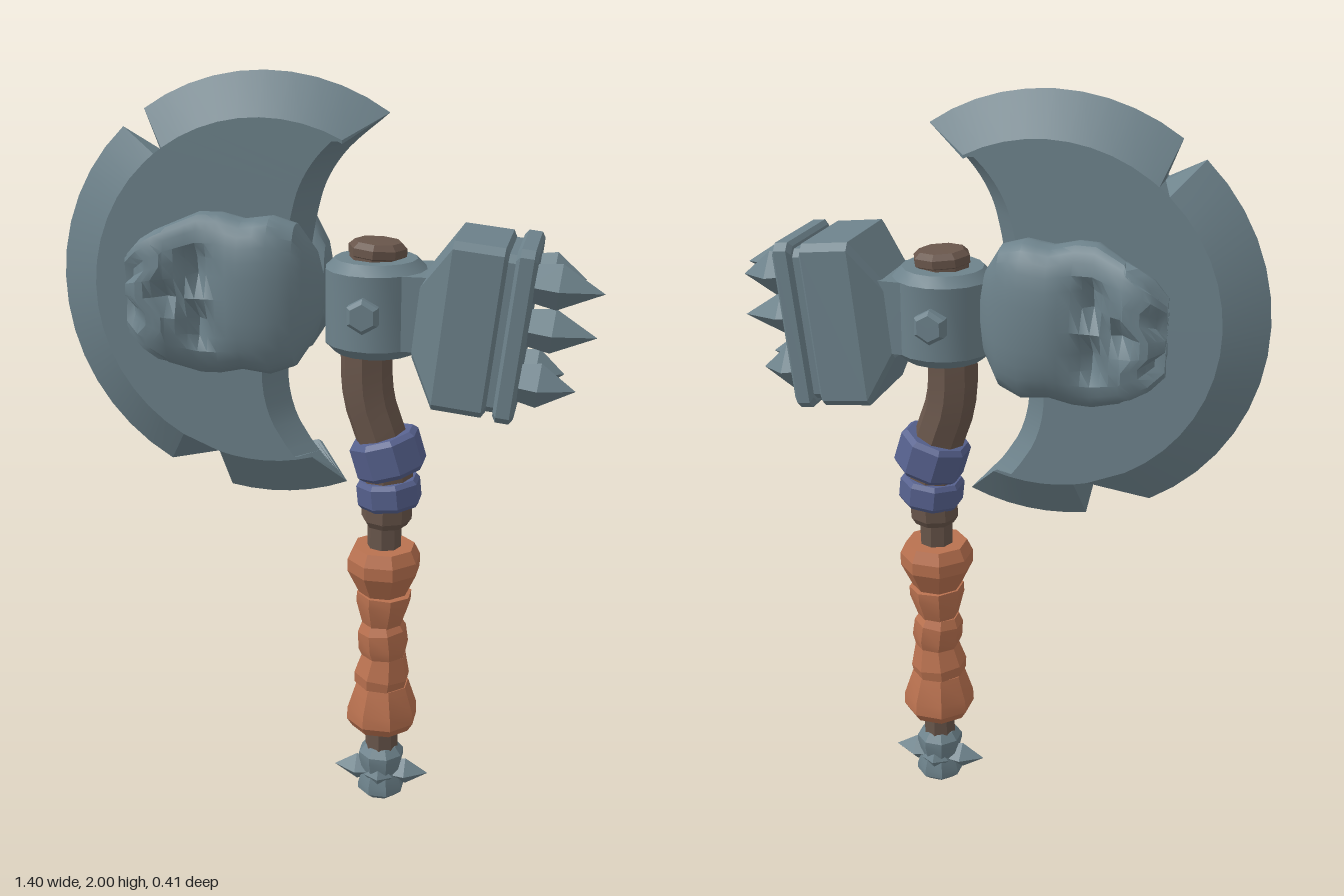
import * as THREE from 'three';
import { toCreasedNormals } from 'three/addons/utils/BufferGeometryUtils.js';

const mat = (name, color) => Object.assign(new THREE.MeshStandardMaterial({ color }), { name });

export function createModel() {
  const steel = mat('steel', 0x6d828b), wood = mat('wood', 0x69564b);
  const leather = mat('leather', 0xb9714f), cloth = mat('blueBand', 0x57628f);
  const model = new THREE.Group();
  model.name = 'warAxe';

  const add = (name, geo, material, parent = model, crease = 0.35) => {
    const mesh = new THREE.Mesh(toCreasedNormals(geo, crease), material);
    mesh.name = name;
    parent.add(mesh);
    return mesh;
  };
  const group = (name, x, y, z = 0) => {
    const g = new THREE.Group();
    g.name = name;
    g.position.set(x, y, z);
    model.add(g);
    return g;
  };
  // Skin over closed cross-sections of [x, y, z] points
  const loft = (rings) => {
    const n = rings[0].length, index = [];
    for (let i = 0; i < rings.length - 1; i++) {
      for (let j = 0; j < n; j++) {
        const a = i * n + j, b = i * n + (j + 1) % n, c = a + n, d = b + n;
        index.push(a, c, b, b, c, d);
      }
    }
    const geo = new THREE.BufferGeometry();
    geo.setAttribute('position', new THREE.Float32BufferAttribute(rings.flat(2), 3));
    geo.setIndex(index);
    return geo.toNonIndexed();
  };
  // Turned part, profile of [radius, height] from bottom to top
  const lathe = (profile, sides) => {
    const geo = new THREE.LatheGeometry(profile.map(p => new THREE.Vector2(...p)), sides);
    geo.deleteAttribute('uv');
    return geo.toNonIndexed();
  };

  // Crescent blade: cutting edge, two ridges and a bevelled inner edge
  const cx = -0.155, cy = 1.452, R = 0.55, start = 55.7, end = 292.2;
  const stations = [];
  const arc = (from, to, n) => {
    for (let i = 0; i <= n; i++) stations.push([from + (to - from) * i / n, R]);
  };
  arc(start, 125, 10);
  stations.push([128.3, 0.447]);
  arc(132.6, 240.1, 14);
  stations.push([253.9, 0.462]);
  arc(258.7, end, 6);
  const inner = new THREE.CatmullRomCurve3([
    [0.155, 1.906], [0.05, 1.815], [0, 1.74], [-0.025, 1.66], [-0.06, 1.46],
    [-0.105, 1.25], [-0.085, 1.13], [-0.025, 1.03], [0.053, 0.943],
  ].map(p => new THREE.Vector3(p[0], p[1], 0)));
  const polar = (deg, r) => {
    const a = deg * Math.PI / 180;
    return [cx + r * Math.cos(a), cy + r * Math.sin(a)];
  };
  const T = 0.065;
  add('axeBlade', loft(stations.map(([deg, r], i) => {
    const o = polar(deg, r);
    if (i === 0 || i === stations.length - 1) return Array.from({ length: 6 }, () => [...o, 0]);
    const c = inner.getPoint((deg - start) / (end - start));
    const a = polar(deg, 0.443);
    let bx = c.x - 0.055 - cx, by = c.y - cy;
    const k = Math.min(1, 0.435 / Math.hypot(bx, by));
    const b = [cx + bx * k, cy + by * k];
    return [[...o, 0], [...a, T], [...b, T], [c.x, c.y, 0], [...b, -T], [...a, -T]];
  })), steel);

  // Skull relief on each cheek: [x, half width, inner depth, outer depth]
  const skullProfile = [
    [0.0, 0.05, 0.04, 0.09], [-0.015, 0.11, 0.02, 0.125], [-0.06, 0.18, 0.02, 0.17],
    [-0.12, 0.2, 0.02, 0.195], [-0.19, 0.19, 0.02, 0.2], [-0.25, 0.205, 0.03, 0.185],
    [-0.3, 0.205, 0.04, 0.185], [-0.35, 0.185, 0.07, 0.2], [-0.4, 0.165, 0.115, 0.21],
    [-0.44, 0.14, 0.115, 0.205], [-0.475, 0.1, 0.14, 0.175],
  ];
  const dents = [[-0.3, 0.075, 0.06], [-0.3, -0.075, 0.06], [-0.37, 0, 0.045]];
  const skullRings = [];
  const sides = 28;
  const section = ([x, w, z0, z1], flat = 1) => Array.from({ length: sides }, (_, j) => {
    const a = j / sides * Math.PI * 2, c = Math.cos(a), s = Math.sin(a);
    const y = w * flat * Math.sign(c) * Math.abs(c) ** 0.85;
    let z = (z0 + z1) / 2 + (z1 - z0) / 2 * flat * Math.sign(s) * Math.abs(s) ** 0.75;
    if (s > 0.1) for (const [dx, dy, depth] of dents) {
      z -= depth * Math.exp(-(((x - dx) / 0.032) ** 2 + ((y - dy) / 0.035) ** 2));
    }
    // teeth along the muzzle rim
    const tooth = x < -0.38 ? (j % 4 < 2 ? 0.018 : -0.006) : 0;
    return [x + tooth, y, z];
  });
  skullRings.push(section(skullProfile[0], 0));
  for (let i = 0; i < skullProfile.length - 1; i++) {
    for (let k = 0; k < 2; k++) {
      skullRings.push(section(skullProfile[i].map((v, q) => v + (skullProfile[i + 1][q] - v) * k / 2)));
    }
  }
  const last = skullProfile[skullProfile.length - 1];
  skullRings.push(section(last), section(last, 0));
  const skullGeo = loft(skullRings);
  for (const turn of [0, Math.PI]) {
    const g = group(turn ? 'backSkull' : 'frontSkull', 0, 1.465);
    g.rotation.x = turn;
    add('skull', skullGeo, steel, g, 0.5);
  }

  // Hub around the shaft with a bolt on each side
  const hub = group('hub', 0.125, 1.43);
  add('hubBarrel', lathe([[0, -0.12], [0.105, -0.12], [0.13, -0.095], [0.13, 0.095], [0.105, 0.12], [0, 0.12]], 16), steel, hub, 0.5);
  add('hubArm', new THREE.BoxGeometry(0.13, 0.19, 0.2), steel, hub).position.x = 0.1;
  for (const s of [1, -1]) {
    const bolt = add('bolt', lathe([[0.045, -0.05], [0.045, 0.015], [0.034, 0.025], [0, 0.025]], 6), steel, hub);
    bolt.position.set(-0.01, 0, s * 0.13);
    bolt.rotation.x = s * Math.PI / 2;
  }

  // Hammer head: chamfered blocks along x, listed from the striking face inwards
  const hammer = group('hammer', 0.4, 1.4);
  hammer.rotation.z = -0.11;
  const block = (name, list) => add(name, loft(list.map(([x, h, w]) => {
    const c = Math.min(0.018, h, w);
    return [[h, w - c], [h - c, w], [c - h, w], [-h, w - c], [-h, c - w], [c - h, -w], [h - c, -w], [h, c - w]]
      .map(([y, z]) => [x, y, z]);
  })), steel, hammer);
  block('hammerBody', [[0.045, 0, 0], [0.045, 0.2, 0.125], [0.035, 0.215, 0.138],
    [-0.09, 0.215, 0.138], [-0.16, 0.1, 0.1], [-0.16, 0, 0]]);
  block('hammerNeck', [[0.08, 0, 0], [0.08, 0.2, 0.125], [0.03, 0.2, 0.125], [0.03, 0, 0]]);
  block('strikingPlate', [[0.115, 0, 0], [0.115, 0.208, 0.13], [0.106, 0.22, 0.14],
    [0.072, 0.22, 0.14], [0.063, 0.208, 0.13], [0.063, 0, 0]]);
  const spike = (parent, r, length) => add('spike',
    lathe([[r * 0.8, 0], [r, length * 0.4], [0, length]], 4), steel, parent);
  for (const [y, z, tip] of [[0.128, 0.065, 0.285], [0.128, -0.065, 0.235], [0, 0, 0.285],
    [-0.125, 0.068, 0.255], [-0.125, -0.068, 0.22]]) {
    const s = spike(hammer, 0.058, tip - 0.1);
    s.position.set(0.1, y, z);
    s.rotation.z = -Math.PI / 2;
  }

  // Curved upper shaft, straight lower shaft and wooden cap
  const bend = new THREE.CatmullRomCurve3([[0.125, 1.56], [0.11, 1.4], [0.102, 1.26], [0.112, 1.17],
    [0.145, 1.07], [0.162, 0.97], [0.16, 0.85]].map(p => new THREE.Vector3(p[0], p[1], 0)));
  add('upperShaft', new THREE.TubeGeometry(bend, 16, 0.068, 8), wood);
  add('lowerShaft', new THREE.CylinderGeometry(0.046, 0.046, 0.8, 8), wood).position.set(0.155, 0.5, 0);
  const cap = add('shaftCap', lathe([[0.06, -0.04], [0.06, 0], [0.075, 0.008], [0.075, 0.028], [0.06, 0.042], [0, 0.045]], 8), wood);
  cap.position.set(0.127, 1.55, 0);
  cap.rotation.z = -0.06;
  add('shaftCollar', lathe([[0, -0.03], [0.055, -0.03], [0.066, -0.012], [0.066, 0.04], [0, 0.04]], 8), wood).position.set(0.16, 0.86, 0);

  // Turned bands: [name, material, x, y, tilt, profile]
  const bands = [
    ['upperBand', cloth, 0.162, 1.03, 0.29, [[0, -0.053], [0.084, -0.053], [0.096, -0.04], [0.096, 0.04], [0.084, 0.053], [0, 0.053]]],
    ['lowerBand', cloth, 0.166, 0.925, 0.1, [[0, -0.038], [0.078, -0.038], [0.087, -0.026], [0.087, 0.026], [0.078, 0.038], [0, 0.038]]],
    ['gripTop', leather, 0.155, 0.7, 0, [[0, -0.065], [0.068, -0.065], [0.1, 0], [0.1, 0.035], [0.084, 0.068], [0, 0.068]]],
    ['gripWrap', leather, 0.155, 0.59, -0.05, [[0, -0.05], [0.056, -0.05], [0.076, 0.015], [0.076, 0.042], [0, 0.052]]],
    ['gripWrap', leather, 0.155, 0.49, 0.1, [[0, -0.055], [0.058, -0.055], [0.07, -0.02], [0.068, 0.03], [0.055, 0.055], [0, 0.055]]],
    ['gripWrap', leather, 0.155, 0.4, -0.1, [[0, -0.045], [0.074, -0.045], [0.078, -0.015], [0.06, 0.05], [0, 0.05]]],
    ['gripBottom', leather, 0.155, 0.285, 0, [[0, -0.06], [0.084, -0.06], [0.1, -0.035], [0.098, 0], [0.074, 0.072], [0, 0.072]]],
  ];
  for (const [name, material, x, y, tilt, profile] of bands) {
    const band = add(name, lathe(profile, 8), material);
    band.position.set(x, y, 0);
    band.rotation.set(0, Math.PI / 8, tilt, 'ZYX');
  }

  // Pommel with four spikes, the side pair longer
  const pommel = group('pommel', 0.155, 0);
  add('pommelCore', lathe([[0, 0], [0.045, 0.004], [0.066, 0.022], [0.066, 0.04], [0.054, 0.08],
    [0.064, 0.12], [0.064, 0.138], [0.046, 0.16], [0, 0.16]], 8), steel, pommel).rotation.y = Math.PI / 8;
  for (let i = 0; i < 4; i++) {
    const arm = new THREE.Group();
    arm.name = 'pommelSpike';
    arm.position.y = 0.077;
    arm.rotation.y = i * Math.PI / 2;
    pommel.add(arm);
    const s = spike(arm, 0.04, i % 2 ? 0.04 : 0.105);
    s.position.x = 0.028;
    s.rotation.z = -Math.PI / 2;
  }
  return model;
}
